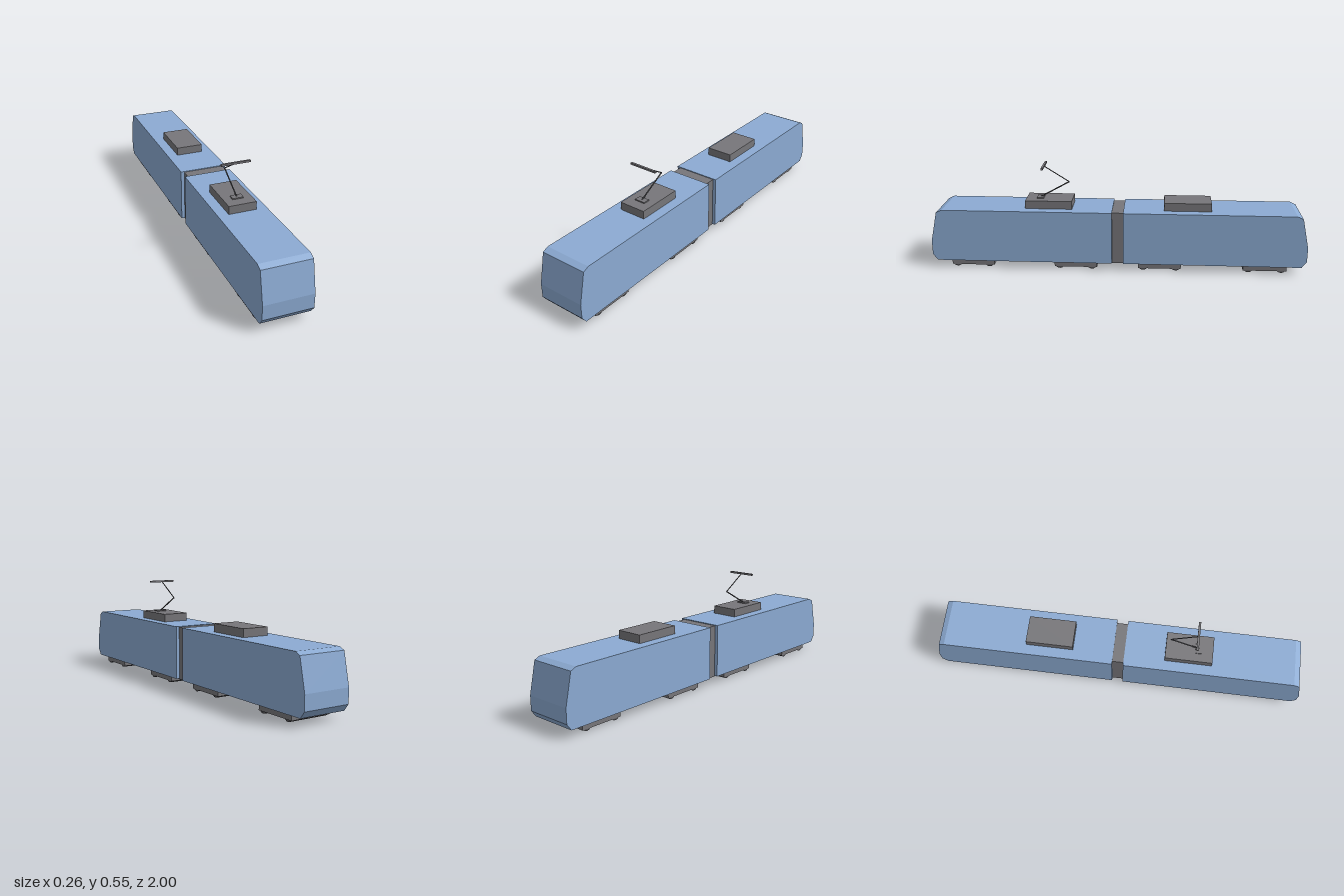
import * as THREE from 'three';

export function createModel() {
  const tram = new THREE.Group();
  tram.name = 'tram';
  const blue = new THREE.MeshStandardMaterial({ color: 0x8cabd3, flatShading: true });
  const grey = new THREE.MeshStandardMaterial({ color: 0x77767a, flatShading: true });
  const dark = new THREE.MeshStandardMaterial({ color: 0x505054, flatShading: true });

  function add(parent, name, geometry, material, x = 0, y = 0, z = 0) {
    const mesh = new THREE.Mesh(geometry, material);
    mesh.name = name;
    mesh.position.set(x, y, z);
    parent.add(mesh);
    return mesh;
  }
  const box = (w, h, d) => new THREE.BoxGeometry(w, h, d);

  // Round bar between two points
  function bar(parent, name, a, b, radius) {
    const dir = b.clone().sub(a);
    const mesh = add(parent, name, new THREE.CylinderGeometry(radius, radius, dir.length(), 8), dark);
    mesh.position.copy(a).add(b).multiplyScalar(0.5);
    mesh.quaternion.setFromUnitVectors(new THREE.Vector3(0, 1, 0), dir.normalize());
  }

  // Car body: side profile (z, y) extruded across the width
  const width = 0.256;
  const profile = new THREE.Shape([
    [0.03, 0.04], [0.975, 0.04], [1, 0.074], [1, 0.15],
    [0.965, 0.31], [0.935, 0.324], [0.03, 0.324],
  ].map(([z, y]) => new THREE.Vector2(z, y)));
  const bodyGeometry = new THREE.ExtrudeGeometry(profile, { depth: width, bevelEnabled: false });
  bodyGeometry.rotateY(-Math.PI / 2).translate(width / 2, 0, 0);

  // Bogie: frame with two wheelsets
  const wheelGeometry = new THREE.CylinderGeometry(0.027, 0.027, 0.216, 16).rotateZ(Math.PI / 2);
  function bogie(z) {
    const group = new THREE.Group();
    group.name = 'bogie';
    group.position.z = z;
    add(group, 'bogieFrame', box(0.224, 0.03, 0.23), grey, 0, 0.026, 0);
    for (const s of [-1, 1]) add(group, 'wheelset', wheelGeometry, dark, 0, 0.027, s * 0.087);
    return group;
  }

  // Two cars, back to back
  for (const [name, turn] of [['frontCar', 0], ['rearCar', Math.PI]]) {
    const car = new THREE.Group();
    car.name = name;
    car.rotation.y = turn;
    add(car, 'body', bodyGeometry, blue);
    add(car, 'roofBox', box(0.146, 0.046, 0.25), grey, 0, 0.344, 0.37);
    car.add(bogie(0.225), bogie(0.785));
    tram.add(car);
  }

  // Gangway between the cars
  add(tram, 'gangway', box(0.22, 0.283, 0.08), grey, 0, 0.1785, 0);

  // Pantograph on the front car
  const pantograph = new THREE.Group();
  pantograph.name = 'pantograph';
  const foot = new THREE.Vector3(0, 0.37, 0.42);
  const elbow = new THREE.Vector3(0, 0.456, 0.265);
  const top = new THREE.Vector3(0, 0.541, 0.4);
  add(pantograph, 'pantographBase', box(0.058, 0.008, 0.036), grey, 0, 0.369, 0.42);
  bar(pantograph, 'lowerArm', foot, elbow, 0.0035);
  bar(pantograph, 'upperArm', elbow, top, 0.0027);
  add(pantograph, 'contactBar', box(0.154, 0.01, 0.011), grey, 0, 0.542, 0.4);
  tram.add(pantograph);

  return tram;
}
